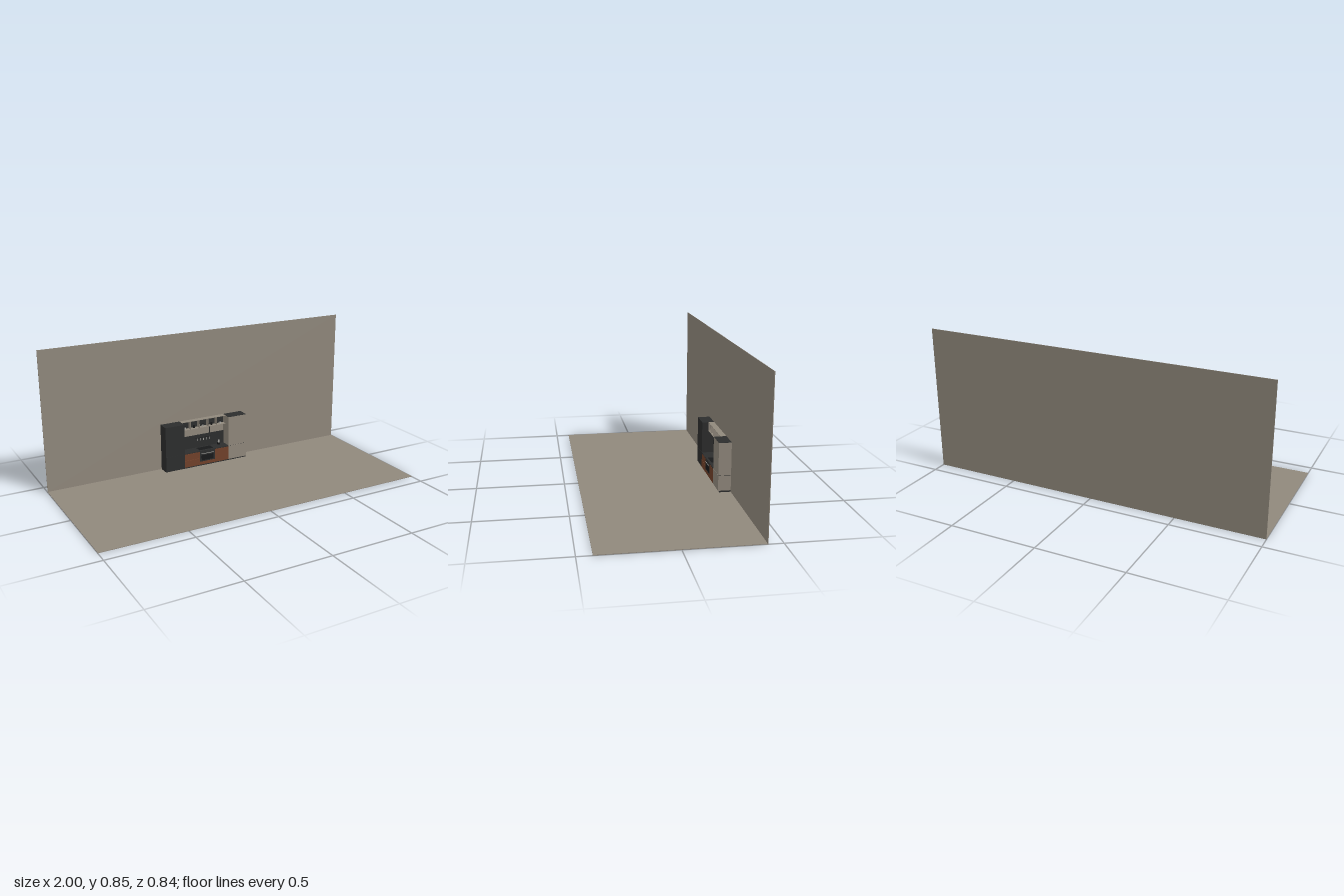
import * as THREE from 'three';

export function createModel() {
  const model = new THREE.Group();
  model.name = 'kitchenRoom';
  const mat = (name, color) => {
    const m = new THREE.MeshStandardMaterial({ color });
    m.name = name;
    return m;
  };
  const taupe = mat('taupe', 0x90887c);
  const dark = mat('charcoal', 0x2c2d2d);
  const black = mat('black', 0x18191a);
  const wood = mat('reddish wood', 0x71412a);
  const metal = mat('pale metal', 0xb4b3ae);

  // Box given by its low and high corners
  const box = (parent, name, material, x0, x1, y0, y1, z0, z1) => {
    const mesh = new THREE.Mesh(new THREE.BoxGeometry(x1 - x0, y1 - y0, z1 - z0), material);
    mesh.position.set((x0 + x1) / 2, (y0 + y1) / 2, (z0 + z1) / 2);
    mesh.name = name;
    parent.add(mesh);
    return mesh;
  };
  const round = (parent, name, material, r0, r1, h, x, y, z) => {
    const mesh = new THREE.Mesh(new THREE.CylinderGeometry(r0, r1, h, 16), material);
    mesh.position.set(x, y, z);
    mesh.name = name;
    parent.add(mesh);
    return mesh;
  };
  const group = (name) => {
    const g = new THREE.Group();
    g.name = name;
    model.add(g);
    return g;
  };

  // Room
  box(model, 'floor', taupe, -1, 1, 0, 0.003, -0.42, 0.42);
  box(model, 'backWall', taupe, -1, 1, 0, 0.845, -0.422, -0.419);

  const back = -0.419, front = -0.346, inner = 0.153, outer = 0.279, top = 0.293;

  // Tall cabinets
  const tall = (name, s, material) => {
    const g = group(name);
    const x0 = Math.min(s * inner, s * outer), x1 = Math.max(s * inner, s * outer);
    box(g, 'plinth', dark, x0, x1, 0.003, 0.012, back, -0.353);
    box(g, 'lowerBody', material, x0, x1, 0.012, 0.101, back, front);
    box(g, 'doorGap', dark, x0, x1, 0.101, 0.103, back, front - 0.002);
    box(g, 'upperBody', material, x0, x1, 0.103, top - 0.001, back, front);
    box(g, 'topPanel', dark, x0, x1, top - 0.001, top, back, front);
  };
  tall('darkTallCabinet', -1, dark);
  tall('lightTallCabinet', 1, taupe);

  // Base units: drawers and doors either side of the oven
  const base = group('baseUnits');
  box(base, 'plinth', dark, -inner, inner, 0.003, 0.012, back, -0.353);
  box(base, 'carcass', black, -inner, inner, 0.012, 0.098, back, front - 0.004);
  box(base, 'lowerDrawer', wood, -inner, -0.051, 0.012, 0.054, front - 0.004, front);
  box(base, 'upperDrawer', wood, -inner, -0.051, 0.056, 0.097, front - 0.004, front);
  box(base, 'sideDoor', wood, 0.056, inner, 0.012, 0.097, front - 0.004, front);
  box(base, 'ovenLowerPanel', wood, -0.05, 0.055, 0.012, 0.031, front - 0.004, front);
  box(base, 'ovenFront', dark, -0.05, 0.055, 0.032, 0.097, front - 0.004, front);
  box(base, 'ovenWindow', black, -0.038, 0.043, 0.039, 0.073, front, front + 0.0005);
  box(base, 'ovenHandle', metal, -0.042, 0.047, 0.082, 0.0845, front + 0.001, front + 0.003);
  for (const x of [-0.038, 0.041]) {
    box(base, 'handlePost', metal, x, x + 0.002, 0.082, 0.0845, front, front + 0.001);
  }
  box(base, 'countertop', dark, -inner, inner, 0.098, 0.103, back, front);
  box(base, 'hob', black, -0.045, 0.05, 0.103, 0.1035, -0.405, -0.36);
  box(base, 'backsplash', dark, -inner, inner, 0.103, 0.185, back, back + 0.004);

  // Utensils and tap
  const utensils = group('utensils');
  for (let i = 0; i < 5; i++) {
    const x = -0.032 + i * 0.02;
    box(utensils, 'utensil', metal, x, x + 0.003, 0.146, 0.162, back + 0.004, back + 0.007);
  }
  box(utensils, 'utensilRail', black, -0.045, 0.06, 0.162, 0.164, back + 0.004, back + 0.007);
  round(utensils, 'jug', metal, 0.0045, 0.0055, 0.018, 0.11, 0.125, -0.4);
  round(utensils, 'jugBase', black, 0.009, 0.009, 0.013, 0.11, 0.1095, -0.4);

  // Flue line on the wall between backsplash and shelf
  box(model, 'wallRod', dark, 0.053, 0.056, 0.185, 0.24, back, back + 0.004);

  // Open wall shelf with five bays
  const shelf = group('wallShelf');
  const shelfFront = -0.384, bay = (2 * inner) / 5;
  box(shelf, 'shelfBack', dark, -inner, inner, 0.24, top - 0.002, back, back + 0.003);
  box(shelf, 'shelfTop', taupe, -inner, inner, top - 0.002, top, back, shelfFront);
  box(shelf, 'shelfBottom', taupe, -inner, inner, 0.239, 0.241, back, shelfFront);
  for (let i = 0; i <= 5; i++) {
    const x = -inner + i * bay;
    box(shelf, 'shelfDivider', taupe, x - 0.001, x + 0.001, 0.241, top - 0.002, back, shelfFront);
    if (i === 5) break;
    round(shelf, 'jar', i % 2 ? black : metal, 0.006, 0.005, 0.014, x + bay / 2, 0.248, -0.402);
    round(shelf, 'jarLid', black, 0.0065, 0.0065, 0.003, x + bay / 2, 0.2565, -0.402);
  }
  return model;
}
